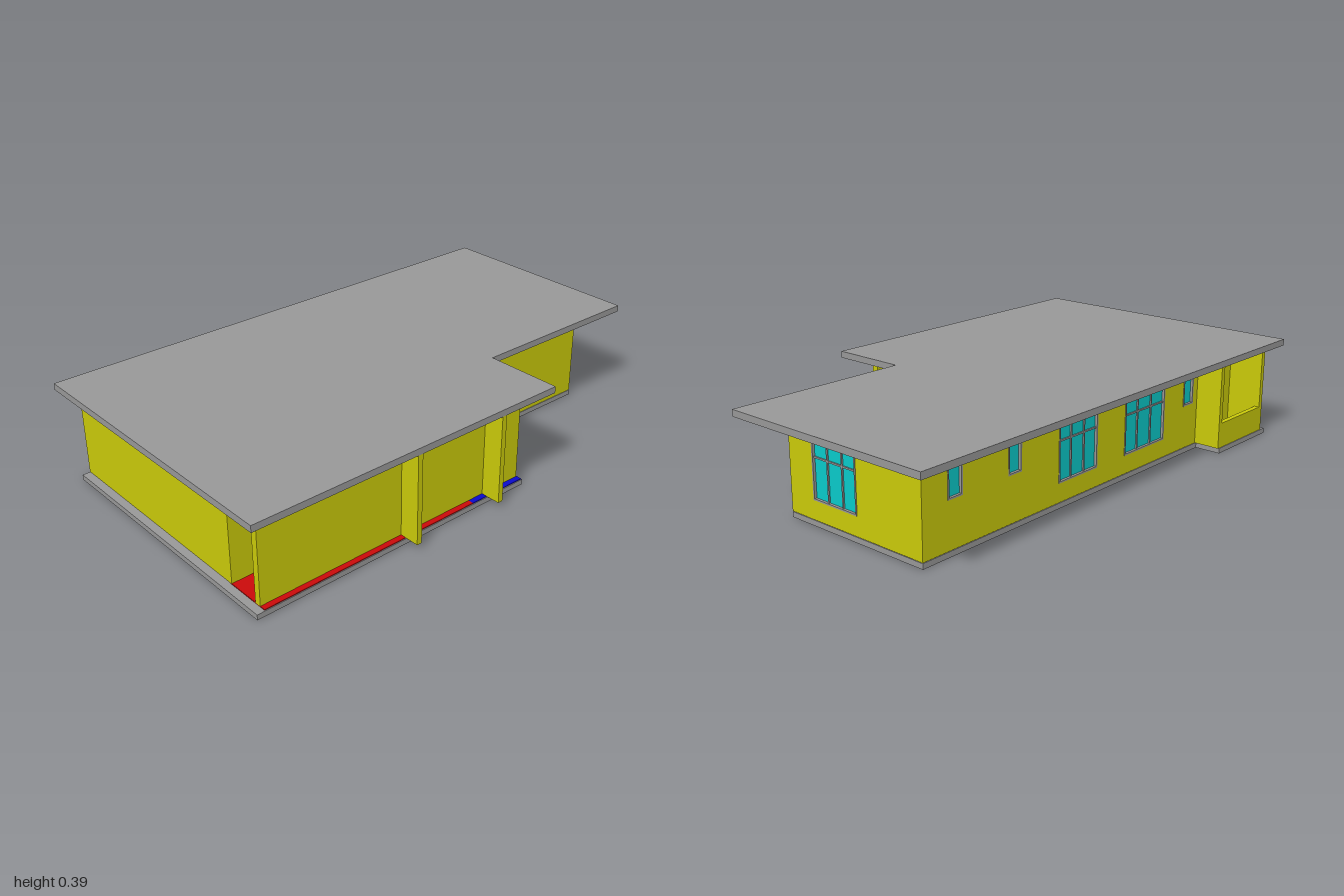
import * as THREE from 'three';

const paint = (color) => new THREE.MeshStandardMaterial({ color, flatShading: true });
const FLOOR = 0.022, CEIL = 0.363, TOP = 0.388, T = 0.02;

export function createModel() {
  const house = new THREE.Group();
  house.name = 'house';
  const yellow = paint(0xcccc0a), grey = paint(0x999999), cyan = paint(0x0acccc);
  const red = paint(0xcc0a0a), blue = paint(0x0a0acc), green = paint(0x0a7a45), brown = paint(0x2e1606);

  const add = (parent, name, geometry, material) => {
    const mesh = new THREE.Mesh(geometry, material);
    mesh.name = name;
    parent.add(mesh);
    return mesh;
  };

  // Box given by its min and max on each axis
  const block = (parent, name, material, x0, x1, y0, y1, z0, z1) => {
    const mesh = add(parent, name, new THREE.BoxGeometry(x1 - x0, y1 - y0, z1 - z0), material);
    mesh.position.set((x0 + x1) / 2, (y0 + y1) / 2, (z0 + z1) / 2);
    return mesh;
  };

  // Horizontal plate from an outline of [x, z] points
  const plate = (name, material, outline, y0, y1) => {
    const shape = new THREE.Shape(outline.map(([x, z]) => new THREE.Vector2(x, -z)));
    const geometry = new THREE.ExtrudeGeometry(shape, { depth: y1 - y0, bevelEnabled: false });
    geometry.rotateX(-Math.PI / 2).translate(0, y0, 0);
    return add(house, name, geometry, material);
  };

  // Framed window: glass, surround, upright bars and one transom
  const addWindow = (parent, u0, u1, y0, y1, panes, transom) => {
    const win = new THREE.Group();
    win.name = 'window';
    parent.add(win);
    const f = 0.006, b = 0.003;
    block(win, 'glass', cyan, u0, u1, y0, y1, -0.014, -0.008);
    for (const [a, c] of [[u0, u0 + f], [u1 - f, u1]]) {
      block(win, 'frameSide', grey, a, c, y0, y1, -0.016, 0.002);
    }
    for (const [a, c] of [[y0, y0 + f], [y1 - f, y1]]) {
      block(win, 'frameRail', grey, u0, u1, a, c, -0.016, 0.002);
    }
    for (let i = 1; i < panes; i++) {
      const u = u0 + ((u1 - u0) * i) / panes;
      block(win, 'mullion', grey, u - b, u + b, y0, y1, -0.012, -0.003);
    }
    if (transom) block(win, 'transom', grey, u0, u1, transom - b, transom + b, -0.012, -0.003);
  };

  // Wall from a to b ([x, z], counter-clockwise seen from above), outer face on the line.
  // Each window is [distance start, distance end, y0, y1, panes, transom].
  const wall = (name, a, b, windows = [], y1 = CEIL) => {
    const dx = b[0] - a[0], dz = b[1] - a[1], length = Math.hypot(dx, dz);
    const group = new THREE.Group();
    group.name = name;
    group.position.set(a[0], 0, a[1]);
    group.rotation.y = Math.atan2(-dz, dx);
    house.add(group);
    const rect = (Kind, u0, u1, v0, v1) => new Kind([[u0, v0], [u1, v0], [u1, v1], [u0, v1]]
      .map(([u, v]) => new THREE.Vector2(u, v)));
    const shape = rect(THREE.Shape, 0, length, FLOOR, y1);
    for (const [u0, u1, v0, v1] of windows) shape.holes.push(rect(THREE.Path, u0, u1, v0, v1));
    const geometry = new THREE.ExtrudeGeometry(shape, { depth: T, bevelEnabled: false });
    add(group, 'wallPanel', geometry.translate(0, 0, -T), yellow);
    for (const w of windows) addWindow(group, ...w);
    return group;
  };

  // Roof and base slabs
  plate('roof', grey, [[-1, 0.58], [0.285, 0.58], [0.285, 0.28], [1, 0.28], [1, -0.58], [-1, -0.58]], CEIL, TOP);
  plate('baseSlab', grey, [[-0.96, 0.525], [0.205, 0.525], [0.205, 0.18], [0.86, 0.18],
    [0.86, -0.435], [-0.625, -0.435], [-0.625, -0.54], [-0.96, -0.54]], 0, FLOOR - 0.002);

  // Coloured floor finishes
  block(house, 'frontLoggiaFloor', red, -0.93, -0.04, FLOOR - 0.002, FLOOR + 0.001, 0.34, 0.522);
  block(house, 'sideLoggiaFloor', blue, -0.04, 0.203, FLOOR - 0.002, FLOOR + 0.001, 0.17, 0.522);
  block(house, 'backPorchFloor', green, -0.92, -0.63, FLOOR - 0.002, FLOOR + 0.001, -0.535, -0.4);

  // Right wing: front wall and end wall with a three-pane window
  wall('wingFrontWall', [0.2, 0.18], [0.86, 0.18]);
  wall('wingEndWall', [0.86, 0.18], [0.86, -0.435], [[0.115, 0.325, 0.092, 0.3, 3, 0.24]]);

  // Back wall, windows listed as [x high, x low, sill, panes, transom]
  const backWindows = [
    [0.75, 0.685, 0.19, 1, 0],
    [0.475, 0.41, 0.19, 1, 0],
    [0.22, 0.01, 0.092, 3, 0.24],
    [-0.15, -0.395, 0.092, 3, 0.24],
    [-0.52, -0.585, 0.19, 1, 0],
  ].map(([x1, x0, sill, panes, transom]) => [0.86 - x1, 0.86 - x0, sill, 0.3, panes, transom]);
  wall('backWall', [0.86, -0.435], [-0.62, -0.435], backWindows);

  // Recessed back porch: fin, rear wall with door, parapet
  block(house, 'porchFin', yellow, -0.635, -0.615, FLOOR, CEIL, -0.54, -0.38);
  wall('porchRearWall', [-0.62, -0.4], [-0.93, -0.4]);
  block(house, 'porchDoor', brown, -0.83, -0.71, FLOOR, 0.3, -0.404, -0.398);
  wall('porchParapet', [-0.62, -0.54], [-0.93, -0.54], [], 0.12);

  // Left end wall, open beside the front loggia
  wall('leftEndWall', [-0.93, -0.54], [-0.93, 0.35]);

  // Front loggias: rear walls, divider with window, outer screen and side parapet
  wall('frontLoggiaRearWall', [-0.93, 0.35], [-0.04, 0.35]);
  wall('loggiaDivider', [-0.04, 0.475], [-0.04, 0.18], [[0.055, 0.255, 0.092, 0.295, 2, 0.255]]);
  wall('sideLoggiaRearWall', [-0.04, 0.18], [0.2, 0.18]);
  block(house, 'frontScreen', yellow, -0.93, 0.2, FLOOR, CEIL, 0.475, 0.5);
  wall('sideParapet', [0.2, 0.476], [0.2, 0.18], [], 0.122);

  // Upright fins on the front
  for (const x of [-0.345, 0.037]) {
    block(house, 'frontFin', yellow, x - 0.01, x + 0.01, FLOOR, CEIL, 0.5, 0.578);
  }
  return house;
}
